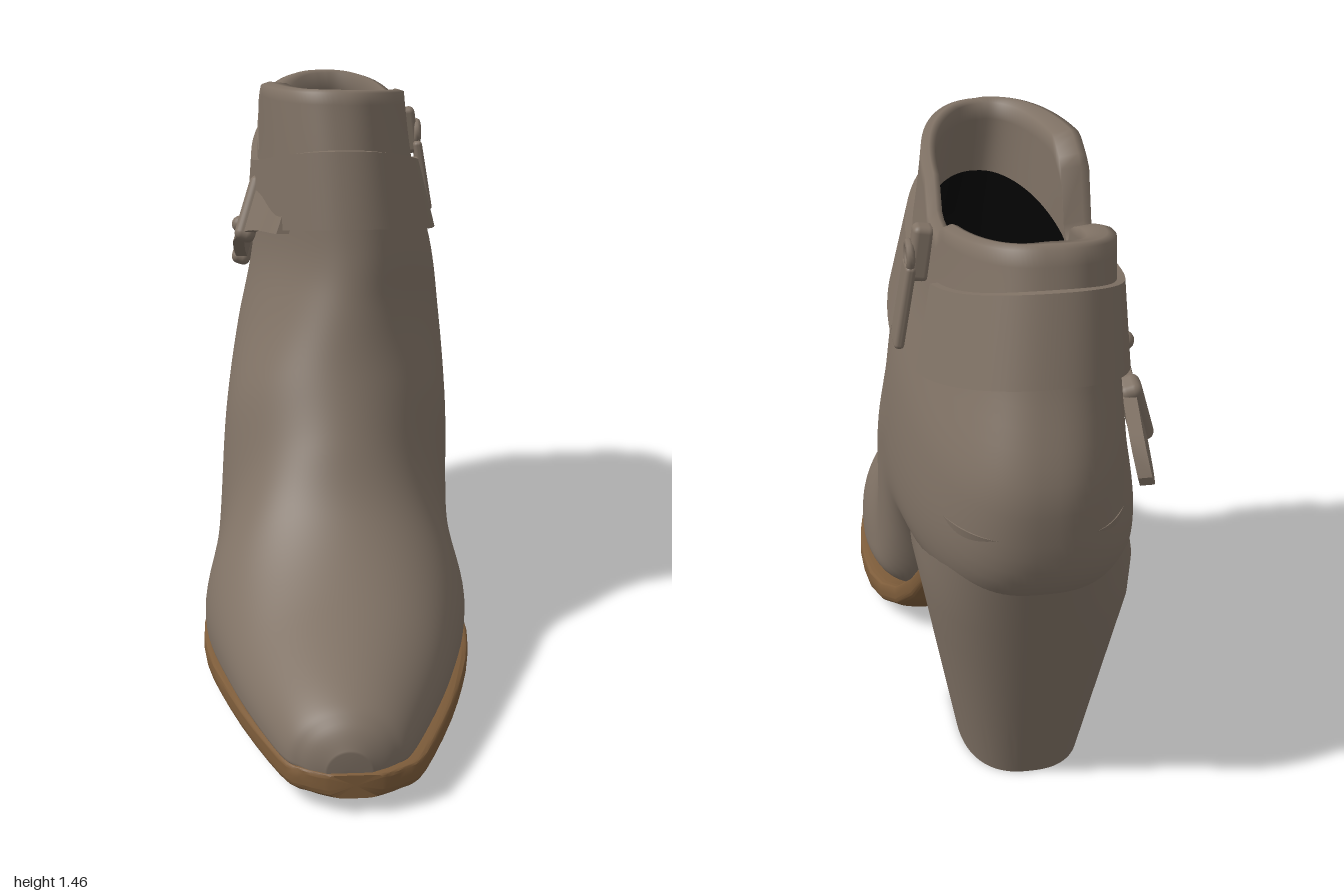
import * as THREE from 'three';
import { toCreasedNormals } from 'three/addons/utils/BufferGeometryUtils.js';
import { RoundedBoxGeometry } from 'three/addons/geometries/RoundedBoxGeometry.js';

const COLS = 128;
const { smoothstep, degToRad } = THREE.MathUtils;

// Sections from toe to collar: back z, back y, front z, front y, centre x, half width
const SECTIONS = [
  [0.99, 0.085, 0.995, 0.15, -0.01, 0.05],
  [0.965, 0.09, 0.96, 0.205, -0.01, 0.105],
  [0.9, 0.09, 0.88, 0.25, -0.01, 0.16],
  [0.6, 0.09, 0.6, 0.34, -0.005, 0.268],
  [0.25, 0.075, 0.41, 0.46, 0, 0.335],
  [-0.08, 0.125, 0.3, 0.615, 0.008, 0.308],
  [-0.34, 0.43, 0.222, 0.77, 0.022, 0.298],
  [-0.885, 0.59, 0.172, 0.93, 0.042, 0.282],
  [-0.993, 0.86, 0.143, 1.06, 0.054, 0.25],
  [-0.91, 1.14, 0.108, 1.25, 0.034, 0.213],
  [-0.84, 1.4, 0.062, 1.46, 0.02, 0.197],
  [-0.8, 1.58, 0.04, 1.62, 0.018, 0.195],
];

// Smooth blend between sections
function sectionAt(v) {
  const n = SECTIONS.length - 1;
  const i = Math.min(Math.floor(v), n - 1), t = v - i;
  const [a, b, c, d] = [i - 1, i, i + 1, i + 2].map((k) => SECTIONS[Math.max(0, Math.min(n, k))]);
  return b.map((q, k) => q + 0.5 * t * (c[k] - a[k] + t * (2 * a[k] - 5 * q + 4 * c[k] - d[k] + t * (3 * (q - c[k]) + d[k] - a[k]))));
}

// One point of a cross-section; angle 0 is the front/top, 90 degrees is the left (+x).
// m places the widest line, eB and eF set how square the back and front halves are.
function ringPoint([bz, by, fz, fy, cx, w], a, m, eB, eF, off = 0) {
  const c = Math.cos(a), s = Math.sin(a), e = c < 0 ? eB : eF;
  const u = Math.pow(Math.abs(c), e);
  const x = cx + w * Math.sign(s) * Math.pow(Math.abs(s), e);
  const k = c < 0 ? m * (1 - u) : m + (1 - m) * u;
  const nx = s / w, nz = c / (Math.hypot(fz - bz, fy - by) / 2), l = Math.hypot(nx, nz);
  return new THREE.Vector3(x + off * nx / l, by + (fy - by) * k, bz + (fz - bz) * k + off * nz / l);
}

// The foot is flat underneath and becomes oval towards the shaft
const surface = (v, a, off) => ringPoint(sectionAt(v), a,
  0.2 + 0.3 * smoothstep(v, 4, 7), 0.45 + 0.35 * smoothstep(v, 4, 8), 1 - 0.15 * smoothstep(v, 7, 10), off);
const angles = Array.from({ length: COLS }, (_, i) => (i / COLS) * Math.PI * 2);
const ring = (sec, ...shape) => angles.map((a) => ringPoint(sec, a, ...shape));

// Inner wall, padded more on the right side
const inner = (v, a) => surface(v, a, -0.05 + 0.017 * Math.sin(a));

// Finds the section parameter where the shaft reaches height y
function levelAt(a, y) {
  let lo = 7, hi = 11;
  for (let i = 0; i < 22; i++) {
    const mid = (lo + hi) / 2;
    if (surface(mid, a).y < y) lo = mid; else hi = mid;
  }
  return lo;
}

const centreRow = (row) => {
  const c = row.reduce((s, p) => s.add(p), new THREE.Vector3()).divideScalar(row.length);
  return row.map(() => c.clone());
};
const capped = (rows) => [centreRow(rows[0]), ...rows, centreRow(rows[rows.length - 1])];

// Skins a stack of closed rings
function loft(rows, crease) {
  const n = rows[0].length, idx = [];
  for (let r = 0; r < rows.length - 1; r++) {
    for (let i = 0; i < n; i++) {
      const a = r * n + i, b = r * n + ((i + 1) % n);
      idx.push(a, b, a + n, b, b + n, a + n);
    }
  }
  const g = new THREE.BufferGeometry().setFromPoints(rows.flat());
  g.setIndex(idx);
  if (crease) return toCreasedNormals(g, crease);
  g.computeVertexNormals();
  return g;
}

// Collar edge as z, y: zip dip on the left, deep notch on the right
const RIM_LEFT = [[0.1, 1.46], [-0.36, 1.405], [-0.44, 1.34], [-0.54, 1.33], [-0.58, 1.365], [-0.86, 1.4]];
const RIM_RIGHT = [[0.1, 1.46], [-0.22, 1.445], [-0.3, 1.39], [-0.34, 1.2], [-0.4, 1.28], [-0.52, 1.32], [-0.86, 1.4]];
function rimHeight(a) {
  const z = surface(9.75, a).z, t = Math.sin(a) > 0 ? RIM_LEFT : RIM_RIGHT;
  const i = Math.max(1, t.findIndex((p) => p[0] <= z));
  const [z0, y0] = t[i - 1], [z1, y1] = t[i];
  return y0 + (y1 - y0) * (z0 - z) / (z0 - z1);
}

export function createModel() {
  const group = new THREE.Group();
  const mat = (name, color) => Object.assign(new THREE.MeshStandardMaterial({ color }), { name });
  const leather = mat('taupe leather', 0x807265);
  const soleBrown = mat('sole brown', 0x7d5c3a);
  const dark = mat('dark inside', 0x040404);
  const add = (name, geo, material) => {
    const m = new THREE.Mesh(geo, material);
    m.name = name;
    group.add(m);
    return m;
  };

  // Upper: foot and shaft up to the rim, then over the rim and a little way down inside
  const tops = angles.map((a) => levelAt(a, rimHeight(a)));
  const hems = tops.map((t) => Math.min(t - 0.15, 9.1));
  const rows = [];
  for (let v = 0; v < 8.5; v += 0.125) rows.push(angles.map((a) => surface(v, a)));
  for (let k = 0; k <= 10; k++) rows.push(angles.map((a, i) => surface(8.5 + (tops[i] - 8.5) * k / 10, a)));
  rows.push(angles.map((a, i) => surface(tops[i], a, -0.02).add(new THREE.Vector3(0, 0.006, 0))));
  for (let k = 0; k <= 4; k++) rows.push(angles.map((a, i) => inner(tops[i] + (hems[i] - tops[i]) * k / 4, a)));
  add('upper', loft([centreRow(rows[0]), ...rows]), leather);

  // Dark lining deep inside
  const inside = [0, 0.4, 0.7, 1].map((t) => angles.map((a, i) => inner(hems[i] + (7.75 - hems[i]) * t, a)));
  add('lining', loft([...inside, centreRow(inside[3])]), dark);

  // Sole follows the underside of the foot, rounded below, and narrows through the arch
  const soleRows = [];
  for (let v = 0; v <= 6; v += 0.25) {
    const [z, y, , , , w] = sectionAt(v);
    const thick = 0.045 + 0.025 * Math.min(1, v / 4);
    const half = (w + 0.009) * (1 - 0.42 * smoothstep(v, 4.5, 6));
    soleRows.push(ring([z + 0.008, y - thick, z + 0.008, y + 0.012, 0.003, half], 0.6, 0.5, 0.2));
  }
  add('sole', loft(capped(soleRows), 0.7), soleBrown);

  // Block heel with a flat front, flaring upwards and running into the heel cup
  const heelRows = [];
  for (let y = 0; y < 0.81; y += 0.1) {
    const tuck = smoothstep(y, 0.5, 0.85);
    heelRows.push(ring(
      [-0.74 - 0.308 * y, y, -0.36 + 0.05 * y - 0.1 * tuck, y, 0.035 + 0.02 * tuck, 0.15 + 0.19 * y - 0.08 * tuck],
      0.6, 0.8, 0.3 + 0.5 * tuck));
  }
  add('heel', loft(capped(heelRows), 0.7), leather);

  // Ankle band, open at the zip
  const bandRows = [];
  for (let i = 0; i <= 96; i++) {
    const a = degToRad(109 + (337 * i) / 96);
    const y = 1.03 + 0.1 * Math.pow(Math.abs(Math.cos(a)), 1.3);
    const p = (h, off) => surface(levelAt(a, y + h), a, off);
    bandRows.push([p(0.19, 0.018), p(0, 0.022), p(0, -0.01), p(0.19, -0.01)]);
  }
  add('ankleBand', loft(capped(bandRows), 0.6), leather);

  // Hanging strap on the right side, leaning in at the top, with a rounded tip
  const path = new THREE.CatmullRomCurve3([
    [-0.1, 1.16, 0.02], [-0.168, 1.14, -0.12], [-0.21, 1.08, -0.28], [-0.214, 1.02, -0.45], [-0.205, 0.94, -0.66], [-0.18, 0.87, -0.89],
  ].map((p) => new THREE.Vector3(...p)));
  const strapRows = [];
  for (let i = 0; i <= 30; i++) {
    const t = i / 30, c = path.getPoint(t), d = path.getTangent(t);
    const h = 0.07 * Math.sqrt(Math.max(0.03, 1 - Math.pow(Math.max(0, (t - 0.9) / 0.1), 2)));
    const up = new THREE.Vector3(0.3, -d.z, d.y).normalize();
    const p = (o, q) => c.clone().addScaledVector(up, o * h).add(new THREE.Vector3(q, 0, 0));
    strapRows.push([p(-1, -0.016), p(1, -0.016), p(1, 0.016), p(-1, 0.016)]);
  }
  add('strap', loft(capped(strapRows), 0.6), leather);

  // Keeper loops and stud along the strap
  const onStrap = (mesh, t, out) => {
    const c = path.getPoint(t), d = path.getTangent(t);
    mesh.position.set(c.x - out, c.y, c.z);
    mesh.rotation.set(Math.atan2(d.y, -d.z), 0, -0.3);
  };
  for (const t of [0.3, 0.81]) {
    onStrap(add('keeperLoop', new RoundedBoxGeometry(0.055, 0.18, 0.065, 3, 0.02), leather), t, 0.004);
  }
  onStrap(add('stud', new THREE.SphereGeometry(0.024, 20, 12), leather), 0.62, 0.016);

  // Zip slider, pull tab and ring on the left side
  const slider = add('zipSlider', new RoundedBoxGeometry(0.05, 0.13, 0.05, 3, 0.015), leather);
  slider.position.set(0.25, 1.275, -0.49);
  slider.rotation.z = 0.15;
  const tab = add('zipPull', new RoundedBoxGeometry(0.024, 0.2, 0.08, 3, 0.01), leather);
  tab.position.set(0.29, 1.15, -0.48);
  tab.rotation.z = 0.17;
  const zipRing = add('zipRing', new THREE.TorusGeometry(0.028, 0.01, 8, 20), leather);
  zipRing.position.set(0.275, 1.27, -0.49);
  zipRing.rotation.y = Math.PI / 2;

  return group;
}
